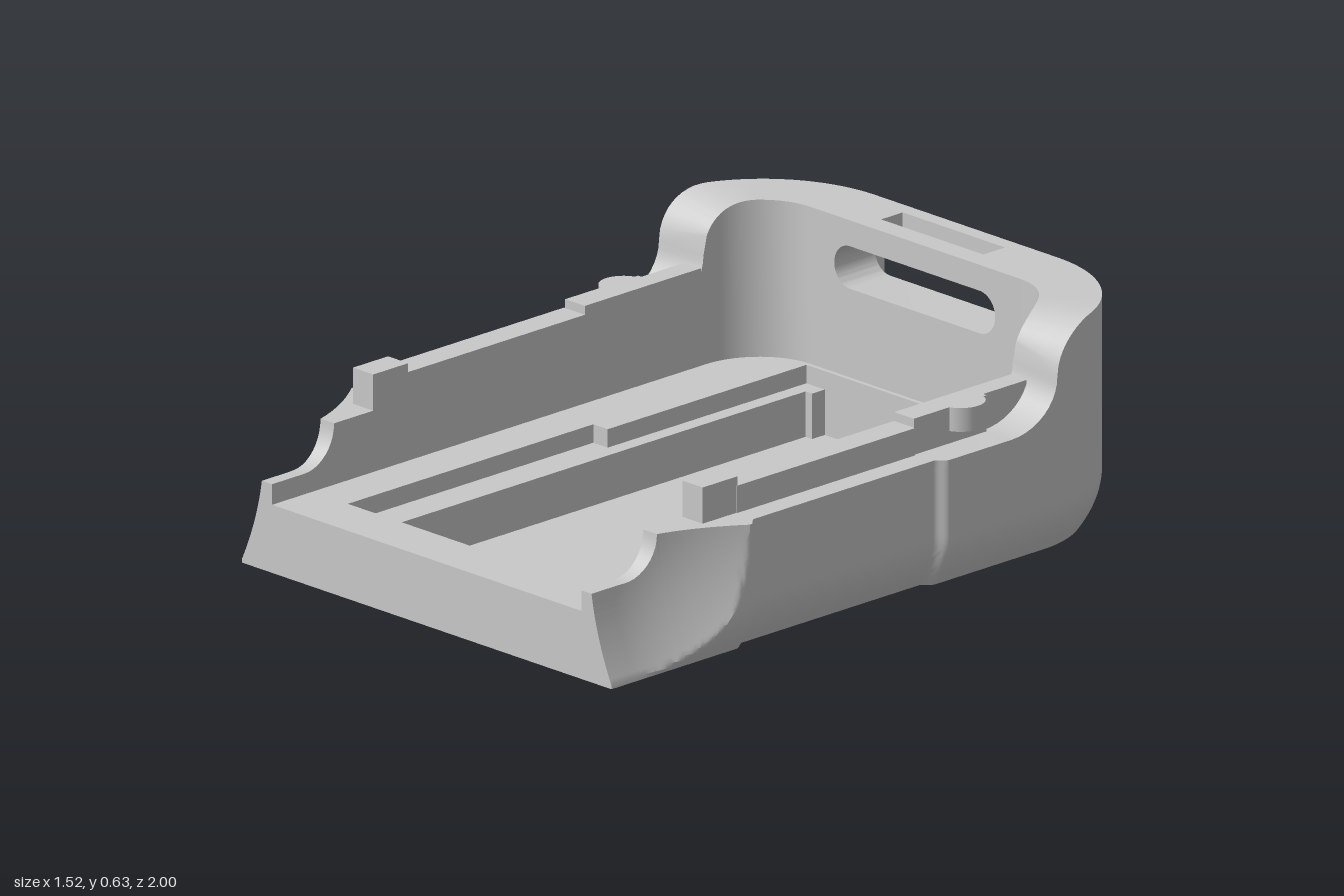
import * as THREE from 'three';
import { toCreasedNormals } from 'three/addons/utils/BufferGeometryUtils.js';

const grey = new THREE.MeshStandardMaterial({ color: 0xc8c8c8 });
grey.name = 'plain grey';

const add = (group, name, geometry) => {
  const mesh = new THREE.Mesh(geometry, grey);
  mesh.name = name;
  group.add(mesh);
  return mesh;
};

// box from its limits
const block = (x0, x1, y0, y1, z0, z1) =>
  new THREE.BoxGeometry(x1 - x0, y1 - y0, z1 - z0)
    .translate((x0 + x1) / 2, (y0 + y1) / 2, (z0 + z1) / 2);

const points = (list) => list.map(([x, y]) => new THREE.Vector2(x, y));

// horizontal slab from an anticlockwise outline in (x, z)
function slab(outline, y0, y1, hole) {
  const shape = new THREE.Shape(points(outline));
  if (hole) shape.holes.push(new THREE.Path(points(hole)));
  return new THREE.ExtrudeGeometry(shape, { depth: y1 - y0, bevelEnabled: false })
    .rotateX(Math.PI / 2).translate(0, y1, 0);
}

// height of the side wall along z: front dip, level run, S-shaped rise to the rear hood
function wallTop(z) {
  const arc = (d, r) => Math.sqrt(Math.max(0, 1 - (d / r) ** 2));
  if (z >= 0.88) return 0.25;
  if (z > 0.77) return 0.365 - 0.115 * arc(0.88 - z, 0.11);
  if (z > -0.43) return 0.365;
  if (z > -0.6) return 0.5 - 0.135 * arc(z + 0.43, 0.17);
  if (z > -0.75) return 0.5 + 0.135 * arc(z + 0.75, 0.15);
  return 0.635;
}

// half width of the hull: slightly waisted in the middle
function halfWidth(z) {
  const t = Math.max((z - 0.5) / 0.035, (-0.165 - z) / 0.035);
  return 0.735 + 0.025 * THREE.MathUtils.smoothstep(t, 0, 1);
}

// stations along one side, from the front end round the rear corner
function wallStations() {
  const list = [];
  const straight = (z) => list.push({ o: [halfWidth(z), z], n: [1, 0], i: [0.59, z] });
  for (let k = 0; k <= 12; k++) straight(1 - 0.01 * k);
  for (let k = 1; k <= 10; k++) straight(0.88 - 0.11 * Math.sin(k * Math.PI / 20));
  for (let k = 1; k <= 23; k++) straight(0.77 - 0.01 * k);
  [0.535, 0.528, 0.521, 0.514, 0.507, 0.5, 0.1, -0.165, -0.172, -0.179, -0.186, -0.193,
    -0.2, -0.43].forEach(straight);
  for (let k = 1; k <= 10; k++) straight(-0.43 - 0.17 * Math.sin(k * Math.PI / 20));
  for (let k = 1; k <= 28; k++) {
    const a = (k / 28) ** 1.5 * Math.PI / 2, c = Math.cos(a), s = Math.sin(a);
    list.push({ o: [0.35 + 0.41 * c, -0.6 - 0.4 * s], n: [c, -s],
      i: [0.4 + 0.19 * c, -0.61 - 0.2 * s] });
  }
  list.push({ o: [0.31, -1], n: [0, -1], i: [0.31, -0.81] });
  return list;
}

// cross-section of the wall at one station: outside upward, then inside downward
function wallRing({ o, n, i }, side) {
  const top = wallTop(o[1]), ring = [], levels = [];
  for (let k = 0; k < 12; k++) levels.push(0.15 * k / 12);
  for (let k = 0; k <= 10; k++) levels.push(0.15 + (top - 0.15) * k / 10);
  for (const y of levels) {
    const inset = 0.055 * Math.max(0, 1 - y / 0.15) ** 2;
    let x = o[0] - n[0] * inset;
    const z = o[1] - n[1] * inset;
    if (z > 0.5) { // hollow scoop at the front corner
      const cut = 0.62 + 0.09 * (1 - y / 0.365) ** 2 + 0.14 * (Math.max(0, 0.92 - z) / 0.38) ** 2;
      x = Math.min(x, cut);
    }
    ring.push([side * x, y, z]);
  }
  ring.push([side * i[0], wallTop(i[1]), i[1]], [side * i[0], 0, i[1]]);
  return ring;
}

function wallGeometry(side) {
  const rings = wallStations().map((s) => wallRing(s, side));
  const pos = [], count = rings[0].length, end = rings.length - 1;
  const tri = (a, b, c) => pos.push(...a, ...(side > 0 ? b : c), ...(side > 0 ? c : b));
  for (let r = 0; r < end; r++) {
    for (let j = 0; j < count; j++) {
      const k = (j + 1) % count, p = rings[r], q = rings[r + 1];
      tri(p[j], q[j], q[k]);
      tri(p[j], q[k], p[k]);
    }
  }
  for (let j = 0; j < count - 2; j++) {
    tri(rings[0][count - 1], rings[0][j], rings[0][j + 1]);
    tri(rings[end][count - 1], rings[end][j + 1], rings[end][j]);
  }
  const g = new THREE.BufferGeometry();
  g.setAttribute('position', new THREE.Float32BufferAttribute(pos, 3));
  return toCreasedNormals(g, 0.6);
}

export function createModel() {
  const model = new THREE.Group();
  model.name = 'cradle';

  // side walls with rails, tabs and knobs
  for (const side of [1, -1]) {
    const wall = new THREE.Group();
    wall.name = side > 0 ? 'leftSide' : 'rightSide';
    model.add(wall);
    const bar = (name, x1, y0, y1, z0, z1) =>
      add(wall, name, block(Math.min(side * 0.59, side * x1), Math.max(side * 0.59, side * x1),
        y0, y1, z0, z1));
    add(wall, 'wall', wallGeometry(side));
    bar('rail', 0.67, 0.36, 0.442, -0.16, 0.5);
    bar('frontTab', 0.667, 0.36, 0.467, 0.495, 0.625);
    bar('rearTab', 0.665, 0.36, 0.467, -0.43, -0.16);
    bar('rearTabEnd', 0.652, 0.36, 0.467, -0.59, -0.43);
    add(wall, 'knob', new THREE.CylinderGeometry(0.067, 0.067, 0.067, 24, 1, false,
      side > 0 ? 0 : Math.PI, Math.PI).translate(side * 0.643, 0.4335, -0.355));
  }

  // floor in three layers: thin base, ledge, upper floor
  const rect = [[-0.6, -0.81], [0.6, -0.81], [0.6, 1], [-0.6, 1]];
  const notch = [];
  for (let k = 0; k <= 8; k++) {
    const a = k * Math.PI / 16;
    notch.push([0.145 + 0.09 * Math.cos(a), -0.8 + 0.055 * Math.sin(a)]);
  }
  const notchOutline = [...notch, ...notch.map(([x, z]) => [-x, z]).reverse()];
  add(model, 'base', slab([[-0.6, 1], [0.6, 1], [0.6, -0.81], [0.235, -0.81],
    ...notchOutline, [-0.235, -0.81], [-0.6, -0.81]], 0, 0.012));
  add(model, 'ledge', slab(rect, 0.012, 0.14, [[-0.355, 0.85], [0.355, 0.85], [0.355, -0.75],
    [0.33, -0.75], [0.33, -0.797], [-0.33, -0.797], [-0.33, -0.75], [-0.355, -0.75]]));
  add(model, 'floor', slab(rect, 0.14, 0.192, [[-0.455, 0.85], [0.455, 0.85], [0.455, -0.06],
    [0.4, -0.06], [0.4, -0.797], [-0.4, -0.797], [-0.4, -0.06], [-0.455, -0.06]]));

  // rear panel with its long rounded slot
  const panel = new THREE.Shape(points([[-0.31, 0.1], [0.31, 0.1], [0.31, 0.565], [-0.31, 0.565]]));
  const slot = new THREE.Path();
  slot.absarc(0.247, 0.502, 0.06, -Math.PI / 2, Math.PI / 2);
  slot.absarc(-0.247, 0.502, 0.06, Math.PI / 2, Math.PI * 1.5);
  panel.holes.push(slot);
  add(model, 'rearPanel', toCreasedNormals(
    new THREE.ExtrudeGeometry(panel, { depth: 0.15, bevelEnabled: false, curveSegments: 16 })
      .translate(0, 0, -0.96), 0.5));

  // rounded upper corners of the outer recess
  for (const s of [1, -1]) {
    const corner = new THREE.Shape();
    corner.moveTo(s * 0.31, 0.502);
    corner.lineTo(s * 0.31, 0.565);
    corner.lineTo(s * 0.247, 0.565);
    corner.absarc(s * 0.247, 0.502, 0.063, Math.PI / 2, s > 0 ? 0 : Math.PI, s > 0);
    add(model, 'recessCorner', new THREE.ExtrudeGeometry(corner, { depth: 0.04, bevelEnabled: false })
      .translate(0, 0, -1));
  }

  // hood bar over the slot, pierced from above
  add(model, 'hoodBar', slab([[-0.31, -1], [0.31, -1], [0.31, -0.81], [-0.31, -0.81]], 0.562, 0.635,
    [[-0.195, -0.955], [0.195, -0.955], [0.195, -0.875], [-0.195, -0.875]]));

  // sloping sill under the rear panel
  const sill = new THREE.Shape(points([[0.96, 0.1], [0.81, 0.1], [0.81, 0.012]]));
  add(model, 'sill', new THREE.ExtrudeGeometry(sill, { depth: 0.62, bevelEnabled: false })
    .rotateY(Math.PI / 2).translate(-0.31, 0, 0));

  return model;
}
